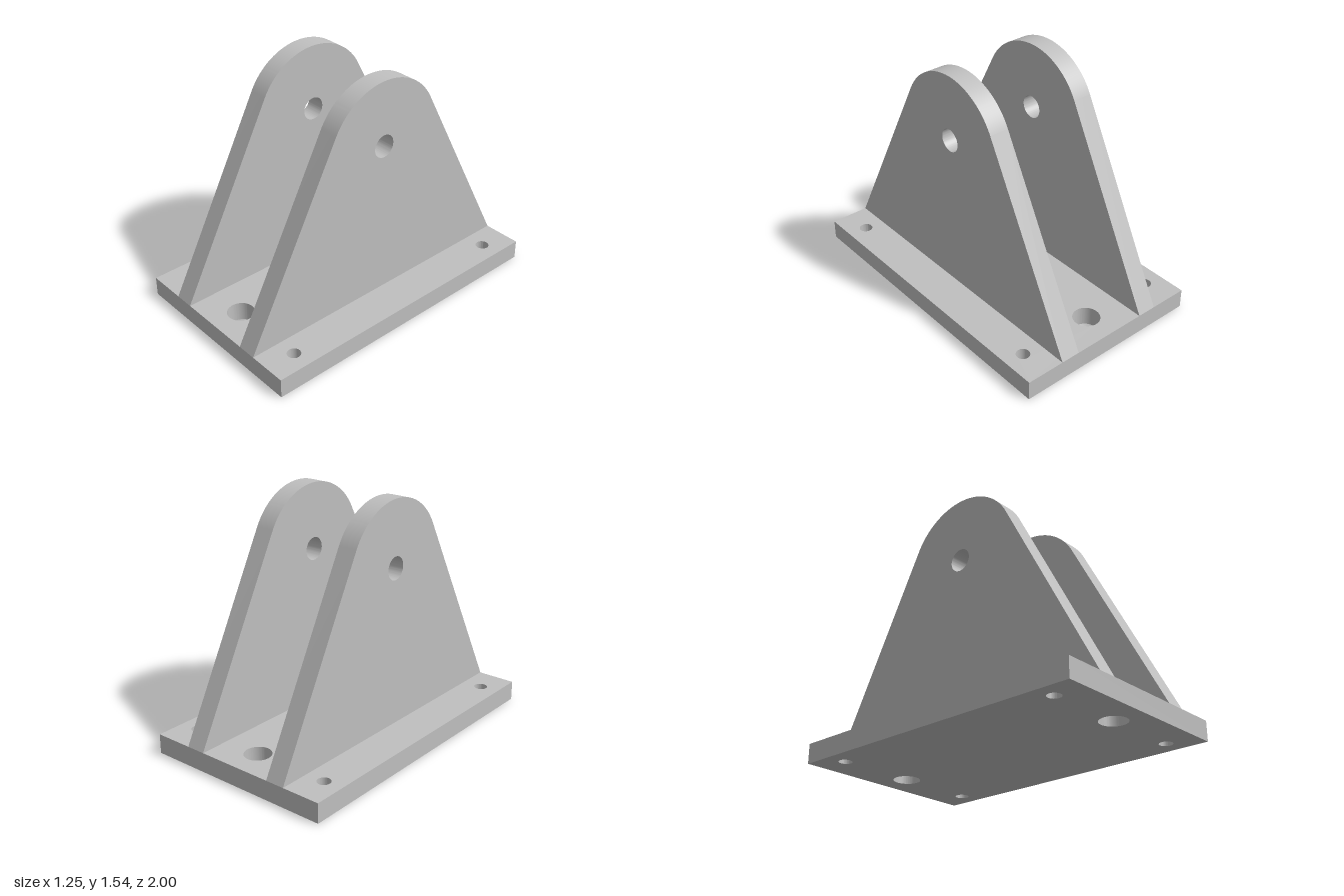
import * as THREE from 'three';
import { toCreasedNormals } from 'three/addons/utils/BufferGeometryUtils.js';

const BASE_H = 0.125;
const LUG_T = 0.125;

// Cuts a round hole in a shape
function addHole(shape, x, y, r) {
  shape.holes.push(new THREE.Path().absarc(x, y, r, 0, Math.PI * 2, true));
}

// Extrudes a shape with smooth curves and sharp edges
function plate(shape, depth) {
  const geometry = new THREE.ExtrudeGeometry(shape, { depth, bevelEnabled: false, curveSegments: 40 });
  return toCreasedNormals(geometry, 0.5);
}

// Flat rectangular base with two large and four small bolt holes
function baseGeometry() {
  const w = 0.625;
  const shape = new THREE.Shape([
    new THREE.Vector2(-w, -1), new THREE.Vector2(w, -1),
    new THREE.Vector2(w, 1), new THREE.Vector2(-w, 1),
  ]);
  for (const z of [-0.803, 0.803]) {
    addHole(shape, 0, z, 0.084);
    for (const x of [-0.5, 0.5]) addHole(shape, x, z, 0.042);
  }
  return plate(shape, BASE_H).rotateX(-Math.PI / 2);
}

// Upright lug: straight flanks tangent to a rounded top, with a pin hole
function lugGeometry() {
  const cy = 1.125, r = 0.416;
  const dy = BASE_H - cy;
  const angle = Math.atan2(dy, 1) + Math.acos(r / Math.hypot(1, dy));
  const shape = new THREE.Shape();
  shape.moveTo(-1, BASE_H);
  shape.lineTo(1, BASE_H);
  shape.absarc(0, cy, r, angle, Math.PI - angle, false);
  shape.closePath();
  addHole(shape, 0, cy, 0.072);
  return plate(shape, LUG_T).translate(0, 0, -LUG_T / 2).rotateY(Math.PI / 2);
}

export function createModel() {
  const group = new THREE.Group();
  group.name = 'clevisBracket';
  const metal = new THREE.MeshStandardMaterial({ color: 0xc0c0c0 });
  metal.name = 'grey metal';

  const base = new THREE.Mesh(baseGeometry(), metal);
  base.name = 'basePlate';
  group.add(base);

  const lug = lugGeometry();
  for (const [name, side] of [['leftLug', 1], ['rightLug', -1]]) {
    const mesh = new THREE.Mesh(lug, metal);
    mesh.name = name;
    mesh.position.x = side * 0.3125;
    group.add(mesh);
  }
  return group;
}
